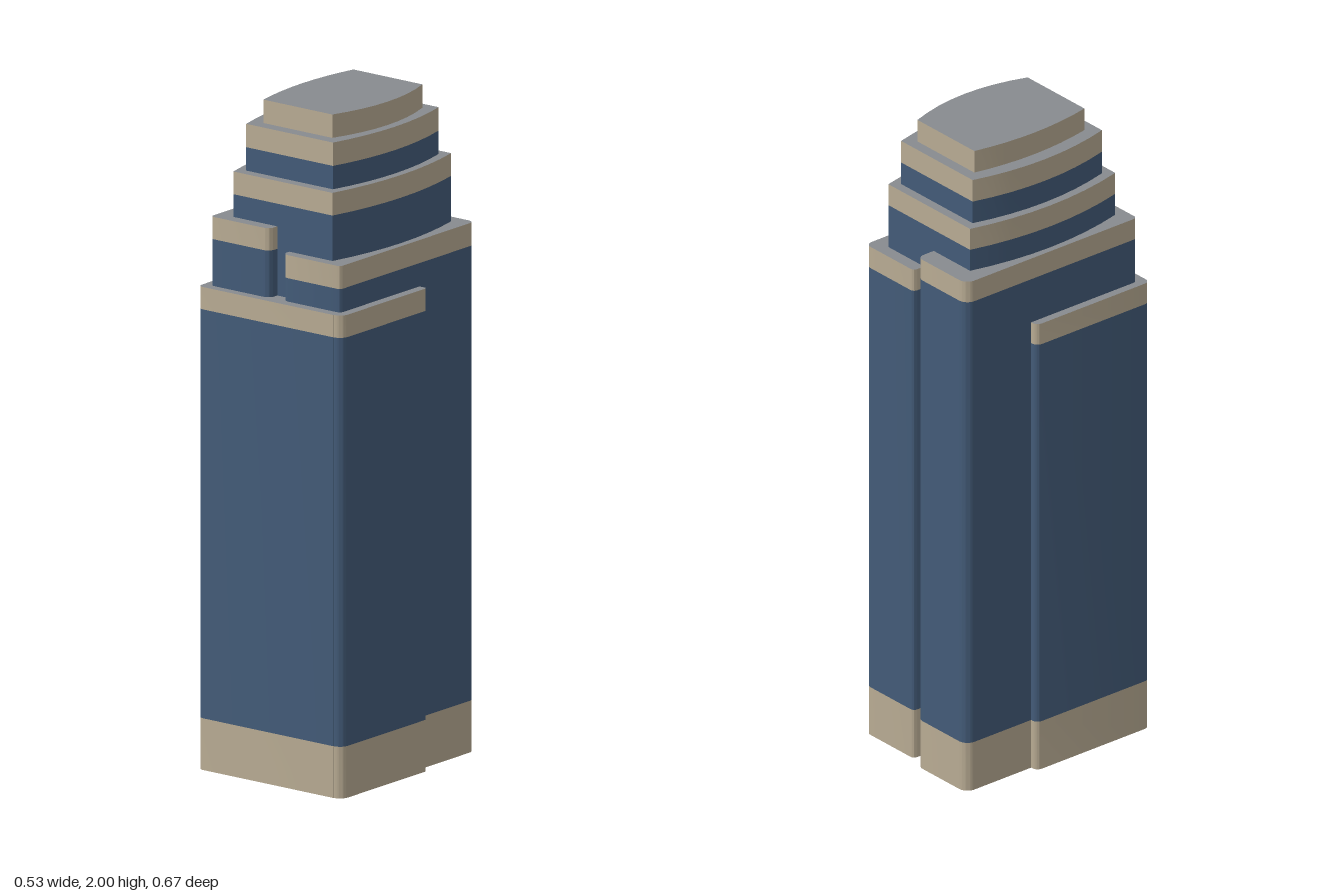
import * as THREE from 'three';
import { toCreasedNormals } from 'three/addons/utils/BufferGeometryUtils.js';

const material = (name, color) => {
  const m = new THREE.MeshStandardMaterial({ color });
  m.name = name;
  return m;
};

// Rectangular plan with its own radius at each corner; plan y is -z
function roundedPlan(x0, x1, zBack, zFront, [rFL, rFR, rBR, rBL]) {
  const s = new THREE.Shape(), y0 = -zFront, y1 = -zBack, q = Math.PI / 2;
  s.moveTo(x0 + rFL, y0);
  s.absarc(x1 - rFR, y0 + rFR, rFR, -q, 0);
  s.absarc(x1 - rBR, y1 - rBR, rBR, 0, q);
  s.absarc(x0 + rBL, y1 - rBL, rBL, q, 2 * q);
  s.absarc(x0 + rFL, y0 + rFL, rFL, 2 * q, 3 * q);
  return s;
}

// Plan with straight front and back and bowed sides
function bowedPlan(x0, x1, zBack, zFront, bow0, bow1) {
  const s = new THREE.Shape(), mid = -(zBack + zFront) / 2;
  s.moveTo(x0, -zFront);
  s.lineTo(x1, -zFront);
  s.quadraticCurveTo(2 * bow1 - x1, mid, x1, -zBack);
  s.lineTo(x0, -zBack);
  s.quadraticCurveTo(2 * bow0 - x0, mid, x0, -zFront);
  return s;
}

export function createModel() {
  const stone = material('stone', 0xb8ab93);
  const glass = material('blue glass', 0x435b78);
  const roof = material('grey roof', 0x888b8f);
  const model = new THREE.Group();
  model.name = 'tower';

  // One horizontal layer of a block: caps and walls
  function layer(group, name, plan, y0, y1, caps, walls) {
    const g = new THREE.ExtrudeGeometry(plan, { depth: y1 - y0, bevelEnabled: false, curveSegments: 8 });
    g.rotateX(-Math.PI / 2);
    g.translate(0, y0, 0);
    const mesh = new THREE.Mesh(toCreasedNormals(g, Math.PI / 6), [caps, walls]);
    mesh.name = name;
    group.add(mesh);
  }

  // A block: optional stone base, glass walls and a stone parapet with grey roof
  function block(name, plan, bottom, bandStart, top, hasBase) {
    const group = new THREE.Group();
    group.name = name;
    const glassStart = hasBase ? 0.155 : bottom;
    if (hasBase) layer(group, name + 'Base', plan, 0, glassStart, stone, stone);
    if (bandStart > glassStart) layer(group, name + 'Glass', plan, glassStart, bandStart, glass, glass);
    layer(group, name + 'Parapet', plan, bandStart, top, roof, stone);
    model.add(group);
  }

  // Front block, in two halves whose backs are staggered
  const half = new THREE.Shape();
  half.moveTo(-0.245, -0.335);
  half.lineTo(0.235, -0.333);
  half.absarc(0.235, -0.303, 0.029, -Math.PI / 2, 0);
  half.lineTo(0.264, 0.052);
  half.absarc(0.254, 0.052, 0.01, 0, Math.PI / 2);
  half.lineTo(0, 0.062);
  half.lineTo(0, 0.092);
  half.absarc(-0.246, 0.072, 0.02, Math.PI / 2, Math.PI);
  half.absarc(-0.246, -0.315, 0.02, Math.PI, Math.PI * 1.5);
  block('frontBlock', half, 0, 1.38, 1.447, true);

  // Two wings of different height, with a slot between them
  block('rightWing', roundedPlan(-0.241, -0.023, -0.337, 0.307, [0.014, 0.022, 0.022, 0.032]), 0, 1.587, 1.654, true);
  block('leftWing', roundedPlan(0.021, 0.236, -0.315, 0.303, [0.022, 0.014, 0.022, 0.014]), 0, 1.517, 1.586, true);

  // Stepped core with bowed sides
  block('lowerTier', bowedPlan(-0.186, 0.181, -0.276, 0.271, -0.222, 0.215), 0, 1.722, 1.79, true);
  block('middleTier', bowedPlan(-0.163, 0.158, -0.247, 0.24, -0.197, 0.191), 1.79, 1.86, 1.93, false);
  block('topTier', bowedPlan(-0.13, 0.125, -0.213, 0.202, -0.153, 0.163), 1.93, 1.93, 2, false);

  return model;
}
